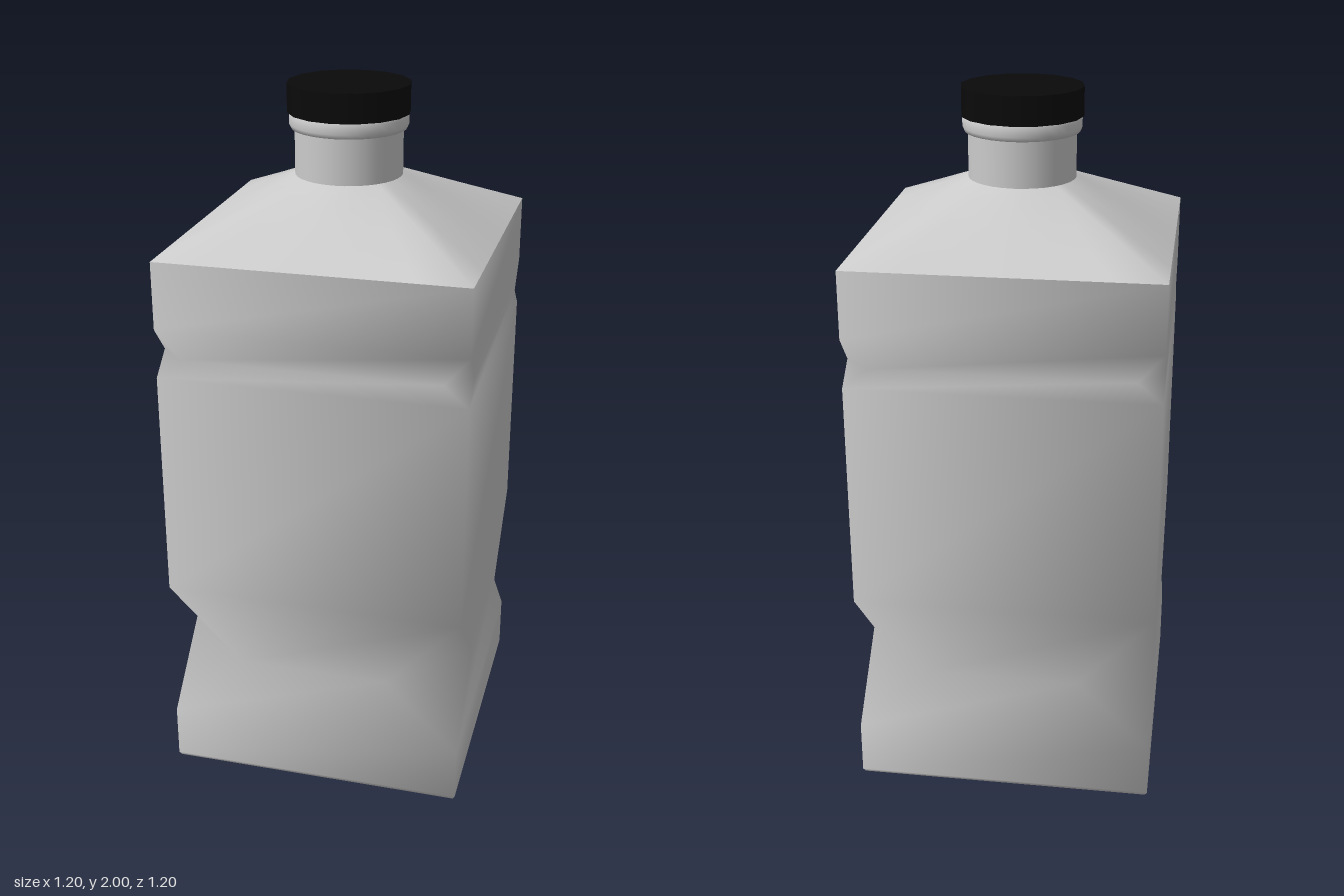
import * as THREE from 'three';
import { mergeVertices } from 'three/addons/utils/BufferGeometryUtils.js';

const TURN = Math.atan2(0.1, 0.6); // the square body stands turned
const R = Math.hypot(0.6, 0.1); // centre to corner
const SIDE = R * Math.SQRT2;

const corner = (k, s = 1) => {
  const a = TURN + (k * Math.PI) / 2;
  return new THREE.Vector3(R * s * Math.cos(a), 0, R * s * Math.sin(a));
};

// Square ring whose corners are cut back by "cut" along both sides
function squareRing(y, cut, s = 1) {
  const pts = [];
  for (let k = 0; k < 4; k++) {
    for (const n of [k - 1, k + 1]) {
      const p = corner(k, s).lerp(corner(n, s), cut / SIDE);
      p.y = y;
      pts.push(p);
    }
  }
  return pts;
}

// Ring blending from the square (t = 0) to a circle (t = 1)
function blendRing(y, radius, t, n = 32) {
  return Array.from({ length: n }, (_, i) => {
    const a = (i / n) * Math.PI * 2;
    const square = R / (Math.abs(Math.cos(a)) + Math.abs(Math.sin(a)));
    const r = square * (1 - t) + radius * t;
    return new THREE.Vector3(r * Math.cos(a + TURN), y, r * Math.sin(a + TURN));
  });
}

// Skin between rings, with smooth normals
function loft(rings) {
  const n = rings[0].length;
  const index = [];
  for (let j = 0; j < rings.length - 1; j++) {
    for (let i = 0; i < n; i++) {
      const a = j * n + i, b = j * n + ((i + 1) % n);
      index.push(a, a + n, b, b, a + n, b + n);
    }
  }
  let g = new THREE.BufferGeometry().setFromPoints(rings.flat());
  g.setIndex(index);
  g = mergeVertices(g, 1e-4);
  g.computeVertexNormals();
  return g;
}

export function createModel() {
  const group = new THREE.Group();
  const grey = new THREE.MeshStandardMaterial({ color: 0xcccccc, side: THREE.DoubleSide });
  const black = new THREE.MeshStandardMaterial({ color: 0x0a0a0a });
  const add = (name, geometry, material = grey) => {
    const mesh = new THREE.Mesh(geometry, material);
    mesh.name = name;
    group.add(mesh);
    return mesh;
  };

  // Body: [height, corner cut, scale]
  const levels = [
    [0, 0, 0.985], [0.012, 0, 1], [0.17, 0, 1], [0.38, 0.215, 1], [0.6, 0, 1],
    [1.26, 0, 1], [1.32, 0.07, 1], [1.4, 0, 1], [1.59, 0, 1],
  ];
  add('body', loft(levels.map((l) => squareRing(...l))));

  // Flat underside
  const base = new THREE.PlaneGeometry(SIDE * 0.985, SIDE * 0.985);
  base.rotateX(Math.PI / 2).rotateY(Math.PI / 4 - TURN);
  add('base', base);

  // Shoulder: square edge up to the round neck
  add('shoulder', loft([blendRing(1.59, 0.15, 0), blendRing(1.67, 0.15, 0.5), blendRing(1.75, 0.15, 1)]));

  // Neck and collar
  const neck = new THREE.CylinderGeometry(0.15, 0.15, 0.18, 32, 1, true);
  add('neck', neck).position.y = 1.835;
  const collarProfile = [[0.148, 1.875], [0.16, 1.878], [0.165, 1.89], [0.165, 1.912], [0.158, 1.924]];
  add('collar', new THREE.LatheGeometry(collarProfile.map((p) => new THREE.Vector2(...p)), 32));

  // Screw cap
  const cap = new THREE.CylinderGeometry(0.17, 0.17, 0.08, 16);
  cap.rotateY(Math.PI / 16);
  add('cap', cap, black).position.y = 1.96;

  return group;
}
